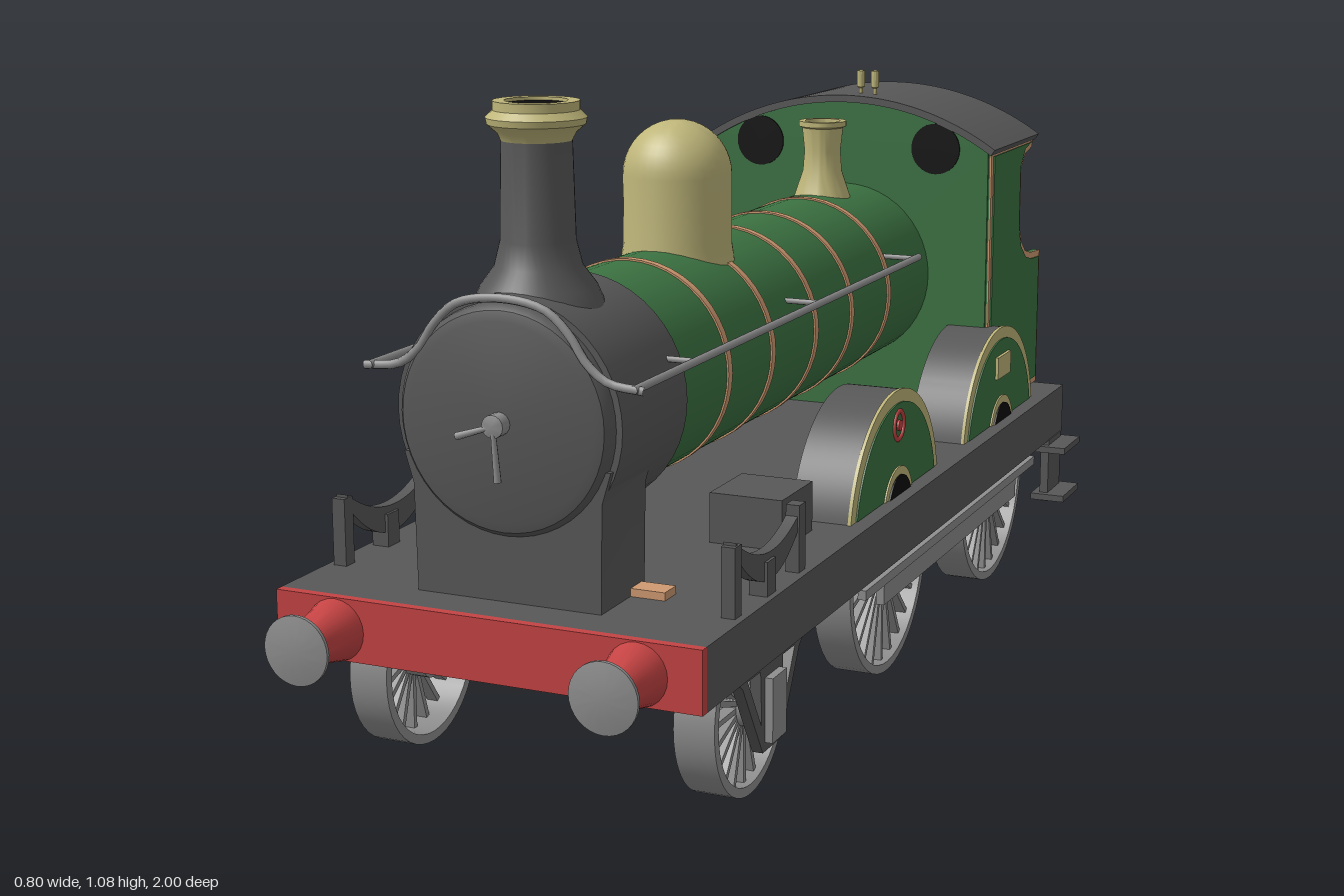
import * as THREE from 'three';
import { toCreasedNormals, mergeGeometries } from 'three/addons/utils/BufferGeometryUtils.js';

const mat = (name, color, side = THREE.FrontSide) => {
  const m = new THREE.MeshStandardMaterial({ color, side });
  m.name = name;
  return m;
};

export function createModel() {
  const green = mat('green paint', 0x3c7342), dark = mat('dark grey iron', 0x585858);
  const steel = mat('steel', 0x8e8e8e), brass = mat('brass', 0xbfb67a, THREE.DoubleSide);
  const tan = mat('tan lining', 0xcf9a72), red = mat('red paint', 0xc54343), black = mat('black', 0x0c0c0c);
  const model = new THREE.Group();
  const add = (name, geo, material, x = 0, y = 0, z = 0, parent = model) => {
    const m = new THREE.Mesh(geo, material);
    m.name = name;
    m.position.set(x, y, z);
    parent.add(m);
    return m;
  };
  // box given by its limits
  const box = (name, material, x0, x1, y0, y1, z0, z1) =>
    add(name, new THREE.BoxGeometry(x1 - x0, y1 - y0, z1 - z0), material, (x0 + x1) / 2, (y0 + y1) / 2, (z0 + z1) / 2);
  const sideBox = (s, name, material, x0, x1, ...r) =>
    s > 0 ? box(name, material, x0, x1, ...r) : box(name, material, -x1, -x0, ...r);
  const lathe = (pts, seg = 40) =>
    toCreasedNormals(new THREE.LatheGeometry(pts.map(p => new THREE.Vector2(...p)), seg), 0.6);
  const latheZ = (pts, seg) => lathe(pts, seg).rotateX(Math.PI / 2);
  const extrude = (shape, depth) =>
    toCreasedNormals(new THREE.ExtrudeGeometry(shape, { depth, bevelEnabled: false, curveSegments: 28 }), 0.6);
  // plate drawn in (z, y), reaching out to xOuter on side s
  const sidePlate = (s, name, material, shape, xOuter, depth) =>
    add(name, extrude(shape, depth).rotateY(-Math.PI / 2), material, s > 0 ? xOuter : depth - xOuter);
  const poly = pts => new THREE.Shape(pts.map(p => new THREE.Vector2(...p)));
  // circle segment above the line y = base
  const cap = (z, yc, r, base) => {
    const a = Math.asin((base - yc) / r);
    return new THREE.Shape().absarc(z, yc, r, a, Math.PI - a, false);
  };
  // counter-clockwise outline moved inwards by d
  const inset = (pts, d) => pts.map((p, i) => {
    const normal = (a, b) => {
      const l = Math.hypot(b[0] - a[0], b[1] - a[1]);
      return [(a[1] - b[1]) / l, (b[0] - a[0]) / l];
    };
    const n = normal(pts.at(i - 1), p), m = normal(p, pts[(i + 1) % pts.length]);
    const k = d / (1 + n[0] * m[0] + n[1] * m[1]);
    return [p[0] + (n[0] + m[0]) * k, p[1] + (n[1] + m[1]) * k];
  });
  const tube = (name, pts, r) => add(name, new THREE.TubeGeometry(
    new THREE.CatmullRomCurve3(pts.map(p => new THREE.Vector3(...p))), 36, r, 8), steel);

  // running plate and front beam
  box('footplate', dark, -0.36, 0.36, 0.23, 0.33, -1, 0.87);
  box('bufferBeam', red, -0.36, 0.36, 0.23, 0.33, 0.87, 0.885);
  box('frameStretcher', tan, -0.215, 0.215, 0.16, 0.343, 0.66, 0.7);

  // boiler with bands, smokebox and saddle
  const by = 0.612;
  add('boiler', latheZ([[0.176, -0.65], [0.176, 0.57]], 48), green, 0, by);
  add('backhead', new THREE.SphereGeometry(0.176, 40, 20, 0, Math.PI).scale(1, 1, 0.3).rotateY(Math.PI), green, 0, by, -0.648);
  for (const z of [0.365, 0.18, -0.02, -0.2, -0.4])
    add('boilerBand', latheZ([[0.17, -0.008], [0.179, -0.008], [0.179, 0.008], [0.17, 0.008]], 48), tan, 0, by, z);
  add('smokebox', latheZ([[0.17, 0.56], [0.19, 0.56], [0.19, 0.79], [0.18, 0.79], [0.178, 0.8],
    [0.17, 0.81], [0.155, 0.814], [0, 0.818]], 48), dark, 0, by);
  add('smokeboxSaddle', extrude(poly([[-0.157, 0.33], [0.157, 0.33], [0.16, 0.5], [0.175, 0.55], [-0.175, 0.55], [-0.16, 0.5]]), 0.15),
    dark, 0, 0, 0.65);
  add('doorBoss', latheZ([[0.018, 0], [0.018, 0.025], [0, 0.03]], 16), steel, 0, by, 0.815);
  for (const [a, l] of [[-1.25, 0.065], [0.08, 0.085]])
    add('doorHandle', new THREE.CylinderGeometry(0.004, 0.006, l, 8).translate(0, -l / 2, 0).rotateZ(a), steel, 0, by, 0.838);

  // chimney, dome, safety valve, whistles
  add('chimney', lathe([[0.105, 0.765], [0.09, 0.8], [0.068, 0.83], [0.058, 0.87], [0.054, 1.03]]), dark, 0, 0, 0.685);
  add('chimneyCap', lathe([[0.054, 1.02], [0.06, 1.032], [0.075, 1.045], [0.077, 1.055], [0.066, 1.066], [0.066, 1.08],
    [0.048, 1.08], [0.046, 1.04]]), brass, 0, 0, 0.685);
  add('chimneyMouth', new THREE.CylinderGeometry(0.048, 0.048, 0.006, 32), black, 0, 1.072, 0.685);
  const dome = [[0.099, 0.75], [0.093, 0.79], [0.093, 0.907]];
  for (let i = 1; i <= 10; i++) dome.push([0.093 * Math.cos(i * Math.PI / 20), 0.907 + 0.093 * Math.sin(i * Math.PI / 20)]);
  add('steamDome', lathe(dome), brass, 0, 0, 0.18);
  add('safetyValve', lathe([[0.06, 0.765], [0.05, 0.795], [0.038, 0.83], [0.035, 0.87], [0.04, 0.915], [0.046, 0.918],
    [0.046, 0.928], [0.034, 0.928], [0.03, 0.85], [0, 0.85]]), brass, 0, 0, -0.5);
  for (const x of [0.01, 0.04])
    add('whistle', lathe([[0.004, 0.94], [0.004, 0.975], [0.008, 0.978], [0.008, 1.01], [0, 1.012]], 12), brass, x, 0, -0.685);

  // cab front and roof
  const rc = 0.412, a0 = Math.acos(0.295 / 0.54), r0 = Math.acos(0.31 / 0.553);
  const front = new THREE.Shape().moveTo(-0.295, 0.33).lineTo(0.295, 0.33).absarc(0, rc, 0.54, a0, Math.PI - a0, false);
  add('cabFront', extrude(front, 0.012), green, 0, 0, -0.648);
  const roof = new THREE.Shape().absarc(0, rc, 0.553, r0, Math.PI - r0, false).absarc(0, rc, 0.539, Math.PI - r0, r0, true);
  add('cabRoof', extrude(roof, 0.305), dark, 0, 0, -0.935);

  // wheel with thin spokes, axle along x
  const wheelGeo = (r, count) => {
    const parts = [latheZ([[r - 0.016, -0.034], [r, -0.034], [r, 0.034], [r - 0.016, 0.034], [r - 0.016, -0.034]], 44),
      new THREE.CylinderGeometry(0.035, 0.035, 0.07, 20).rotateX(Math.PI / 2).toNonIndexed()];
    for (let i = 0; i < count; i++)
      parts.push(new THREE.BoxGeometry(0.009, r - 0.03, 0.02).translate(0, (r - 0.03) / 2 + 0.02, 0.012)
        .rotateZ(i / count * Math.PI * 2).toNonIndexed());
    return mergeGeometries(parts).rotateY(Math.PI / 2);
  };
  const bigWheel = wheelGeo(0.2, 24), smallWheel = wheelGeo(0.145, 20);
  const axles = [['leading', smallWheel, 0.147, 0.605], ['driving', bigWheel, 0.202, -0.025], ['trailing', bigWheel, 0.202, -0.64]];
  for (const [name, geo, y, z] of axles) {
    add(name + 'Axle', new THREE.CylinderGeometry(0.017, 0.017, 0.56, 16).rotateZ(Math.PI / 2), steel, 0, y, z);
    for (const s of [1, -1]) add(name + 'Wheel', geo, steel, s * 0.285, y, z).rotation.y = s > 0 ? 0 : Math.PI;
  }

  // outline of the cab side (z, y)
  const cab = [[-0.64, 0.335], [-0.64, 0.868], [-0.925, 0.868], [-0.918, 0.845], [-0.87, 0.835], [-0.845, 0.808],
    [-0.845, 0.69], [-0.86, 0.655], [-0.89, 0.632], [-0.93, 0.622], [-0.995, 0.618], [-0.995, 0.335]];

  for (const s of [1, -1]) {
    // cab side with lining
    sidePlate(s, 'cabSide', green, poly(cab), 0.298, 0.012);
    sidePlate(s, 'cabLining', tan, poly(cab), 0.301, 0.003);
    sidePlate(s, 'cabPanel', green, poly(inset(cab, 0.013)), 0.304, 0.003);
    sideBox(s, 'cabInnerPanel', black, 0.283, 0.287, 0.335, 0.862, -0.84, -0.65);

    // splashers: body, brass edge, green face, hub opening
    for (const z of [-0.025, -0.64]) {
      const R = s > 0 ? 0.229 : 0.22, yc = s > 0 ? 0.286 : 0.276;
      sidePlate(s, 'splasher', dark, cap(z, yc, R, 0.329), 0.325, 0.105);
      sidePlate(s, 'splasherEdge', brass, cap(z, yc, R + 0.002, 0.33), 0.329, 0.006);
      sidePlate(s, 'splasherFace', green, cap(z, yc, R - 0.021, 0.331), 0.332, 0.004);
      sidePlate(s, 'hubRim', brass, cap(z, 0.305, 0.075, 0.331), 0.335, 0.004);
      sidePlate(s, 'hubOpening', black, cap(z, 0.305, 0.06, 0.331), 0.338, 0.004);
    }
    add('splasherBadge', new THREE.TorusGeometry(0.025, 0.005, 6, 24).rotateY(Math.PI / 2).scale(0.6, 1, 1), red, s * 0.333, 0.455, -0.025);
    add('badgeCentre', new THREE.CylinderGeometry(0.01, 0.01, 0.006, 12).rotateZ(Math.PI / 2), red, s * 0.333, 0.455, -0.025);
    sideBox(s, 'splasherPlate', brass, 0.33, 0.338, 0.42, 0.464, -0.682, -0.598);

    // cab window
    add('cabWindow', new THREE.CylinderGeometry(0.05, 0.05, 0.018, 32).rotateX(Math.PI / 2), black, s * 0.187, 0.866, -0.642);

    // buffers
    add('bufferHousing', latheZ([[0.05, 0.885], [0.044, 0.91], [0.032, 0.965], [0, 0.965]], 24), red, s * 0.255, 0.278);
    add('bufferHead', latheZ([[0.013, 0.96], [0.013, 0.985], [0.055, 0.988], [0.055, 0.994], [0.03, 0.999], [0, 1]], 32), steel, s * 0.255, 0.278);

    // leading axle guard, axle box and leaf spring
    const guard = poly([[0.75, 0.235], [0.72, 0.215], [0.64, 0.085], [0.565, 0.085], [0.49, 0.215], [0.46, 0.235]]);
    guard.holes.push(poly([[0.7, 0.22], [0.65, 0.22], [0.645, 0.13]]), poly([[0.51, 0.22], [0.56, 0.13], [0.56, 0.22]]));
    sidePlate(s, 'axleGuard', dark, guard, 0.352, 0.018);
    sideBox(s, 'axleBox', steel, 0.325, 0.365, 0.1, 0.205, 0.575, 0.632);
    const spring = new THREE.Shape().moveTo(0.73, 0.425).quadraticCurveTo(0.6, 0.285, 0.47, 0.41)
      .lineTo(0.47, 0.43).quadraticCurveTo(0.6, 0.355, 0.73, 0.445);
    sidePlate(s, 'leafSpring', dark, spring, 0.345, 0.02);
    sideBox(s, 'springHangerFront', dark, 0.325, 0.348, 0.33, 0.44, 0.715, 0.74);
    sideBox(s, 'springHangerRear', dark, 0.325, 0.348, 0.33, 0.44, 0.458, 0.485);
    sideBox(s, 'springBuckle', dark, 0.32, 0.35, 0.33, 0.385, 0.585, 0.62);

    // sandbox, rods and rear steps
    sideBox(s, 'sandbox', dark, 0.15, 0.278, 0.33, 0.415, 0.25, 0.385);
    sideBox(s, 'couplingRod', steel, 0.325, 0.34, 0.15, 0.195, -0.73, 0.06);
    sideBox(s, 'guardRail', steel, 0.335, 0.35, 0.195, 0.212, -0.83, 0.18);
    for (const y of [0.105, 0.208]) sideBox(s, 'stepTread', dark, 0.33, 0.4, y, y + 0.013, -0.998, -0.88);
    sideBox(s, 'stepBack', dark, 0.345, 0.362, 0.1, 0.232, -0.985, -0.895);

    // handrail along the boiler
    tube('sideHandrail', [[s * 0.222, 0.683, 0.82], [s * 0.222, 0.683, -0.44]], 0.007);
    for (const z of [0.6, 0.08, -0.42])
      add('handrailPost', new THREE.CylinderGeometry(0.005, 0.005, 0.07, 8).rotateZ(Math.PI / 2), steel, s * 0.19, 0.683, z);
  }

  // handrail arched over the smokebox front
  const half = [[0.235, 0.68], [0.175, 0.688], [0.14, 0.715], [0.115, 0.752], [0.075, 0.787]];
  tube('frontHandrail', [...half.map(([x, y]) => [-x, y, 0.808]), [0, 0.8, 0.808],
    ...half.reverse().map(([x, y]) => [x, y, 0.808])], 0.007);

  return model;
}
